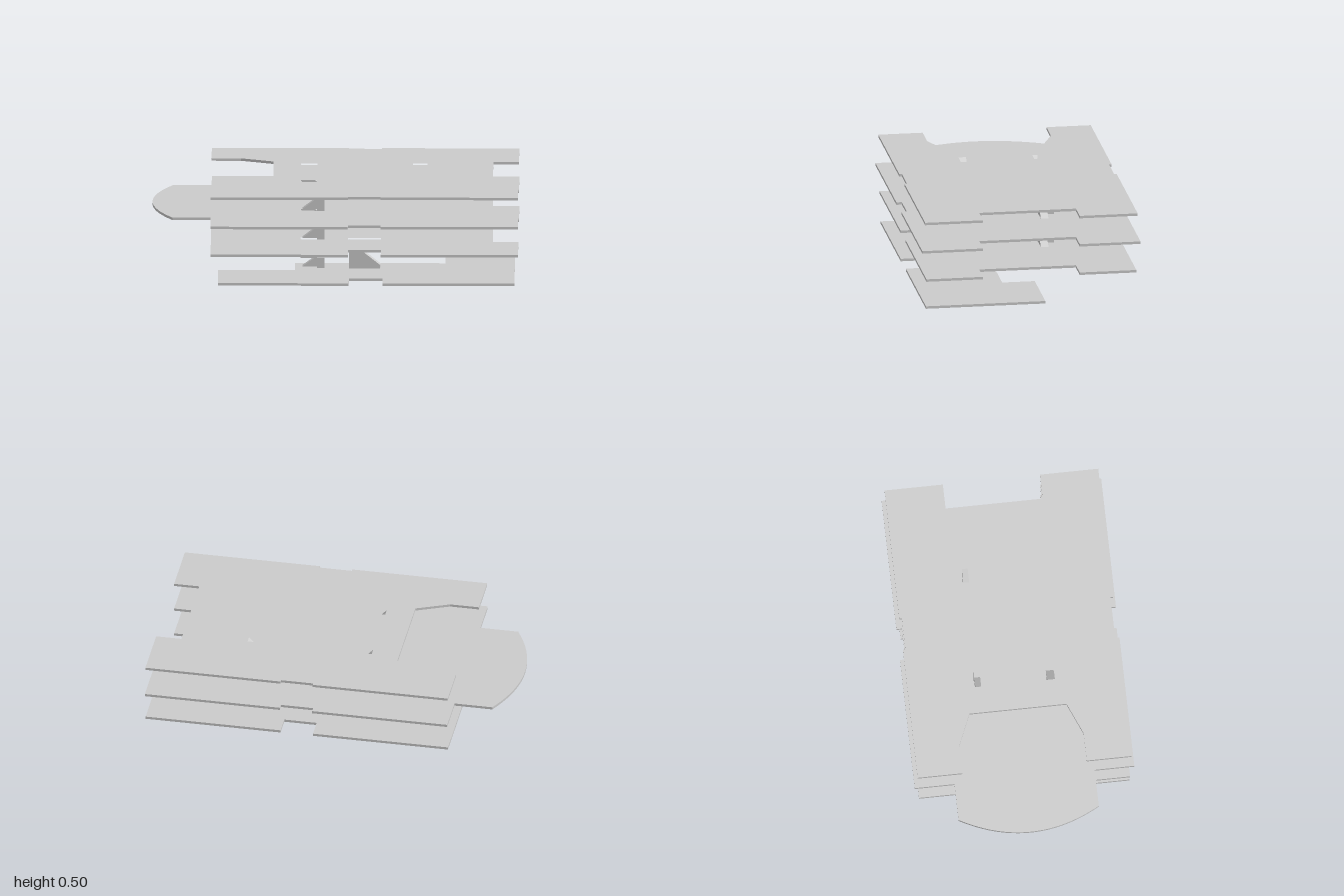
import * as THREE from 'three';

const material = new THREE.MeshStandardMaterial({ color: 0xcccccc });

// Plan points are [x, z]; elevation points are [x, y].
const plan = (pts) => pts.map(([x, z]) => new THREE.Vector2(x, -z));
const elevation = (pts) => pts.map(([x, y]) => new THREE.Vector2(x, y));
const rect = (x0, x1, z0, z1) => [[x0, z0], [x1, z0], [x1, z1], [x0, z1]];

function addMesh(parent, name, geometry) {
  const mesh = new THREE.Mesh(geometry, material);
  mesh.name = name;
  parent.add(mesh);
}

// Flat floor plate with rectangular openings
function floor(parent, name, outline, y, holes = []) {
  const shape = new THREE.Shape(plan(outline));
  for (const h of holes) shape.holes.push(new THREE.Path(plan(rect(...h))));
  const geo = new THREE.ExtrudeGeometry(shape, { depth: 0.014, bevelEnabled: false });
  geo.rotateX(-Math.PI / 2).translate(0, y, 0);
  addMesh(parent, name, geo);
}

// Side profile extruded from z0 to z1
function slab(parent, name, pts, z0, z1) {
  const geo = new THREE.ExtrudeGeometry(new THREE.Shape(elevation(pts)), { depth: z1 - z0, bevelEnabled: false });
  addMesh(parent, name, geo.translate(0, 0, z0));
}

// Two-flight stair: outer lane rises to the floor above, inner lane starts below
function stair(parent, x, dir, outer, inner, base, mid, top) {
  const stairGroup = new THREE.Group();
  stairGroup.name = 'stair';
  const turn = x + dir * 0.09, end = x + dir * 0.13;
  slab(stairGroup, 'upperFlight', [[x, mid], [turn, mid], [x, top]], ...outer);
  slab(stairGroup, 'lowerFlight', [[x + dir * 0.01, base], [turn, base], [turn, mid]], ...inner);
  const z0 = Math.min(outer[0], inner[0]), z1 = Math.max(outer[1], inner[1]);
  slab(stairGroup, 'landing', [[turn, base], [end, base], [end, mid], [turn, mid]], z0, z1);
  parent.add(stairGroup);
}

// Half of a floor edge: right end, then long side with a small notch
const rightSide = (w, d) => [[0.86, 0.267], [1, 0.267], [1, w], [0.25, w], [0.25, w - d], [0.07, w - d], [0.07, w], [-0.68, w]];
const mirrored = (pts) => pts.map(([x, z]) => [x, -z]).reverse();
const symmetric = (half) => [...half, ...mirrored(half)];

export function createModel() {
  const group = new THREE.Group();
  group.name = 'floorStack';

  const frontHole = [-0.19, -0.1, 0.175, 0.22];
  const backHole = [-0.19, -0.1, -0.225, -0.185];
  const sideHole = [0.42, 0.5, -0.225, -0.185];
  const rampHole = [0.07, 0.25, 0.175, 0.22];

  // Half-depth ground floor with stepped back edge
  floor(group, 'groundFloor', [
    [-0.64, 0.58], [0.075, 0.58], [0.075, 0.47], [0.26, 0.47], [0.26, 0.58], [0.98, 0.58],
    [0.98, -0.08], [0.6, -0.08], [0.6, 0.1], [-0.22, 0.1], [-0.22, 0.27], [-0.64, 0.27],
  ], 0.003);

  // Full first floor
  floor(group, 'firstFloor', symmetric(rightSide(0.58, 0.11)), 0.163, [frontHole, rampHole]);

  // Second floor with the bowed terrace
  const terrace = [[-0.68, 0.385], [-0.89, 0.385]];
  for (let i = 1; i <= 12; i++) {
    const z = 0.385 * (1 - i / 12);
    terrace.push([-1 + 0.11 * (z / 0.385) ** 2, z]);
  }
  const half = [...rightSide(0.603, 0.03), ...terrace];
  floor(group, 'secondFloor', [...half, ...mirrored(half).slice(1)], 0.325, [frontHole, backHole, sideHole]);

  // Top floor, recessed above the terrace
  floor(group, 'topFloor', symmetric([
    ...rightSide(0.587, 0.014), [-0.68, 0.342], [-0.52, 0.342], [-0.34, 0.267],
  ]), 0.486, [frontHole, backHole, sideHole]);

  // Front stairs on every level
  const lane = [0.178, 0.222], innerLane = [0.14, 0.178];
  stair(group, -0.19, 1, lane, innerLane, 0.017, 0.075, 0.175);
  stair(group, -0.19, 1, lane, innerLane, 0.177, 0.238, 0.337);
  stair(group, -0.19, 1, lane, innerLane, 0.339, 0.4, 0.5);

  // Back pair of stairs on the upper two levels
  const backLane = [-0.216, -0.172], backInner = [-0.172, -0.13];
  for (const [x, dir] of [[-0.19, 1], [0.505, -1]]) {
    stair(group, x, dir, backLane, backInner, 0.177, 0.242, 0.335);
    stair(group, x, dir, backLane, backInner, 0.339, 0.405, 0.495);
  }

  // Single ramp flight from the ground
  slab(group, 'groundRamp', [[0.075, 0.017], [0.245, 0.017], [0.245, 0.035], [0.075, 0.17]], 0.172, 0.222);
  return group;
}
